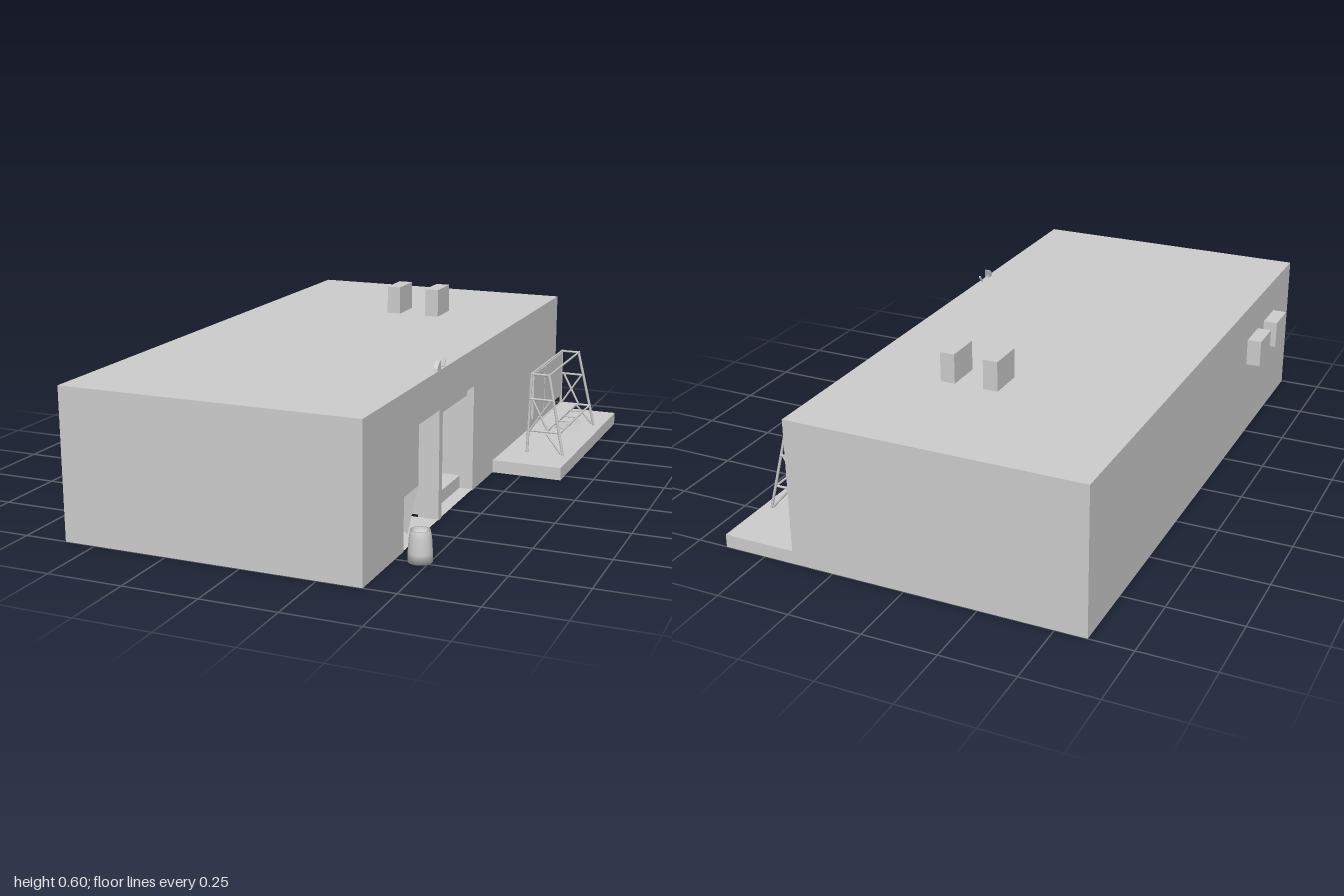
import * as THREE from 'three';

export function createModel() {
  const root = new THREE.Group();
  const grey = new THREE.MeshStandardMaterial({ color: 0xcccccc, side: THREE.DoubleSide });
  grey.name = 'plain grey';
  const V = (p) => new THREE.Vector3(...p);

  function add(name, geometry, parent = root) {
    const mesh = new THREE.Mesh(geometry, grey);
    mesh.name = name;
    parent.add(mesh);
    return mesh;
  }
  // flat sheet from three or four corners, counter-clockwise from its front
  function sheet(name, corners, parent) {
    const g = new THREE.BufferGeometry().setFromPoints(corners.map(V));
    g.setIndex(corners.length === 4 ? [0, 1, 2, 0, 2, 3] : [0, 1, 2]);
    g.computeVertexNormals();
    return add(name, g, parent);
  }
  // box given by its minimum and maximum corners
  function block(name, a, b, parent) {
    const g = new THREE.BoxGeometry(b[0] - a[0], b[1] - a[1], b[2] - a[2]);
    g.translate((a[0] + b[0]) / 2, (a[1] + b[1]) / 2, (a[2] + b[2]) / 2);
    return add(name, g, parent);
  }
  // thin bar between two points
  function bar(name, a, b, parent, r = 0.004) {
    const d = V(b).sub(V(a));
    const m = add(name, new THREE.CylinderGeometry(r, r, d.length(), 6), parent);
    m.position.copy(V(a)).addScaledVector(d, 0.5);
    m.quaternion.setFromUnitVectors(new THREE.Vector3(0, 1, 0), d.normalize());
    return m;
  }

  // hollow building shell, open underneath
  const L = -0.605, R = 0.395, H = 0.5;
  sheet('roof', [[L, H, 1], [R, H, 1], [R, H, -1], [L, H, -1]]);
  sheet('frontWall', [[L, 0, 1], [R, 0, 1], [R, H, 1], [L, H, 1]]);
  sheet('backWall', [[R, 0, -1], [L, 0, -1], [L, H, -1], [R, H, -1]]);
  sheet('rightWall', [[L, 0, -1], [L, 0, 1], [L, H, 1], [L, H, -1]]);

  // entrance wall with two openings that reach the ground
  const T = 0.37;
  const outline = [[-1, 0], [-0.68, 0], [-0.68, T], [-0.37, T], [-0.37, 0], [-0.34, 0],
    [-0.34, T], [-0.03, T], [-0.03, 0], [1, 0], [1, H], [-1, H]];
  const wall = new THREE.ShapeGeometry(new THREE.Shape(outline.map(([u, v]) => new THREE.Vector2(u, v))));
  wall.rotateY(Math.PI / 2).translate(R, 0, 0);
  add('entranceWall', wall);

  // linings of the openings: sides, ceiling and back
  function recess(name, z0, z1, depth, sill) {
    const g = new THREE.Group();
    g.name = name;
    root.add(g);
    const x = R - depth;
    sheet('sideNear', [[R, 0, z1], [x, 0, z1], [x, T, z1], [R, T, z1]], g);
    sheet('sideFar', [[x, 0, z0], [R, 0, z0], [R, T, z0], [x, T, z0]], g);
    sheet('ceiling', [[R, T, z0], [R, T, z1], [x, T, z1], [x, T, z0]], g);
    sheet('back', [[x, sill, z1], [x, sill, z0], [x, T, z0], [x, T, z1]], g);
    return g;
  }
  const bay = recess('windowBay', 0.37, 0.68, 0.07, 0.11);
  sheet('slopedFlap', [[R - 0.07, 0.11, 0.68], [R - 0.07, 0.11, 0.37], [R - 0.03, 0.015, 0.57]], bay);
  sheet('bayFloor', [[R, 0.003, 0.68], [R, 0.003, 0.37], [R - 0.15, 0.003, 0.37], [R - 0.15, 0.003, 0.68]], bay);

  const alcove = recess('doorAlcove', 0.03, 0.34, 0.28, 0);
  sheet('alcoveFloor', [[R, 0.004, 0.34], [R, 0.004, 0.03], [0.115, 0.004, 0.03], [0.115, 0.004, 0.34]], alcove);
  block('lintel', [0.34, 0.335, 0.03], [0.37, T, 0.34], alcove);
  block('doorPost', [0.34, 0.0, 0.285], [0.36, 0.335, 0.335], alcove);
  sheet('doorLeaf', [[0.34, 0.01, 0.285], [0.15, 0.01, 0.2], [0.15, 0.325, 0.2], [0.34, 0.325, 0.285]], alcove);

  // padded seat inside the alcove
  block('seatBase', [0.17, 0.005, 0.035], [0.35, 0.05, 0.22], alcove);
  const pad = [[0.092, 0.05], [0.09, 0.12], [0.082, 0.19], [0.07, 0.225], [0.05, 0.237], [0, 0.24]];
  const back = add('roundedBackrest', new THREE.LatheGeometry(pad.map((p) => new THREE.Vector2(...p)), 20), alcove);
  back.position.set(0.22, 0, 0.126);
  back.scale.x = 0.55;

  // boxes on the roof and on the right wall
  for (const x of [-0.105, 0.045]) block('roofVent', [x, H, -0.553], [x + 0.05, 0.6, -0.43]);
  for (const z of [0.472, 0.673]) block('wallUnit', [-0.655, 0.28, z], [L, 0.375, z + 0.125]);

  // small lamp at the roof edge
  const lamp = new THREE.Group();
  lamp.name = 'roofLamp';
  root.add(lamp);
  const hood = add('hood', new THREE.CylinderGeometry(0.032, 0.032, 0.014, 12, 1, false, 0, Math.PI / 2), lamp);
  hood.rotation.z = Math.PI / 2;
  hood.rotation.x = 0;
  hood.position.set(0.387, 0.498, 0.36);
  bar('stem', [0.387, 0.5, 0.32], [0.387, 0.523, 0.303], lamp);

  // porch slab
  block('porch', [R, 0, -1], [0.645, 0.045, -0.195]);

  // tapered bin with an open top and a thick rim
  const bin = [[0, 0.003], [0.038, 0], [0.038, 0.03], [0.035, 0.075], [0.031, 0.1], [0.027, 0.1], [0.027, 0.08], [0, 0.08]];
  add('bin', new THREE.LatheGeometry(bin.map((p) => new THREE.Vector2(...p)), 20)).position.set(0.47, 0, 0.735);

  // garden swing: two leg frames joined by long rails
  const swing = new THREE.Group();
  swing.name = 'gardenSwing';
  root.add(swing);
  for (const [top, foot] of [[-0.36, -0.343], [-0.77, -0.79]]) {
    const mid = (top + foot) / 2;
    bar('backLeg', [0.482, 0.333, top], [0.478, 0.045, foot], swing, 0.005);
    bar('frontLeg', [0.548, 0.333, top], [0.612, 0.045, foot], swing, 0.005);
    bar('topTie', [0.482, 0.333, top], [0.548, 0.333, top], swing);
    bar('middleTie', [0.48, 0.243, mid], [0.568, 0.243, mid], swing);
    bar('lowerTie', [0.48, 0.125, mid], [0.595, 0.125, mid], swing);
    bar('brace', [0.56, 0.243, mid], [0.48, 0.12, mid], swing);
    bar('brace', [0.49, 0.243, mid], [0.55, 0.13, mid], swing);
    bar('footBrace', [0.545, 0.12, mid], [0.605, 0.05, foot], swing);
  }
  for (const [x, y] of [[0.482, 0.333], [0.548, 0.333], [0.48, 0.125], [0.595, 0.125]])
    bar('longRail', [x, y, -0.355], [x, y, -0.78], swing);
  for (const z of [-0.44, -0.53, -0.6, -0.69]) bar('seatRung', [0.48, 0.122, z], [0.595, 0.122, z], swing, 0.003);

  // backrest panels, seat cloth and a sagging torn piece
  block('backPanel', [0.478, 0.16, -0.52], [0.486, 0.328, -0.383], swing);
  block('backPanel', [0.478, 0.16, -0.76], [0.486, 0.328, -0.525], swing);
  block('seatCloth', [0.48, 0.118, -0.775], [0.545, 0.126, -0.36], swing);
  sheet('tornCloth', [[0.485, 0.12, -0.37], [0.57, 0.122, -0.42], [0.6, 0.12, -0.59], [0.485, 0.09, -0.52]], swing);
  sheet('tornFlap', [[0.57, 0.122, -0.42], [0.645, 0.078, -0.53], [0.615, 0.1, -0.6], [0.6, 0.12, -0.59]], swing);

  return root;
}
